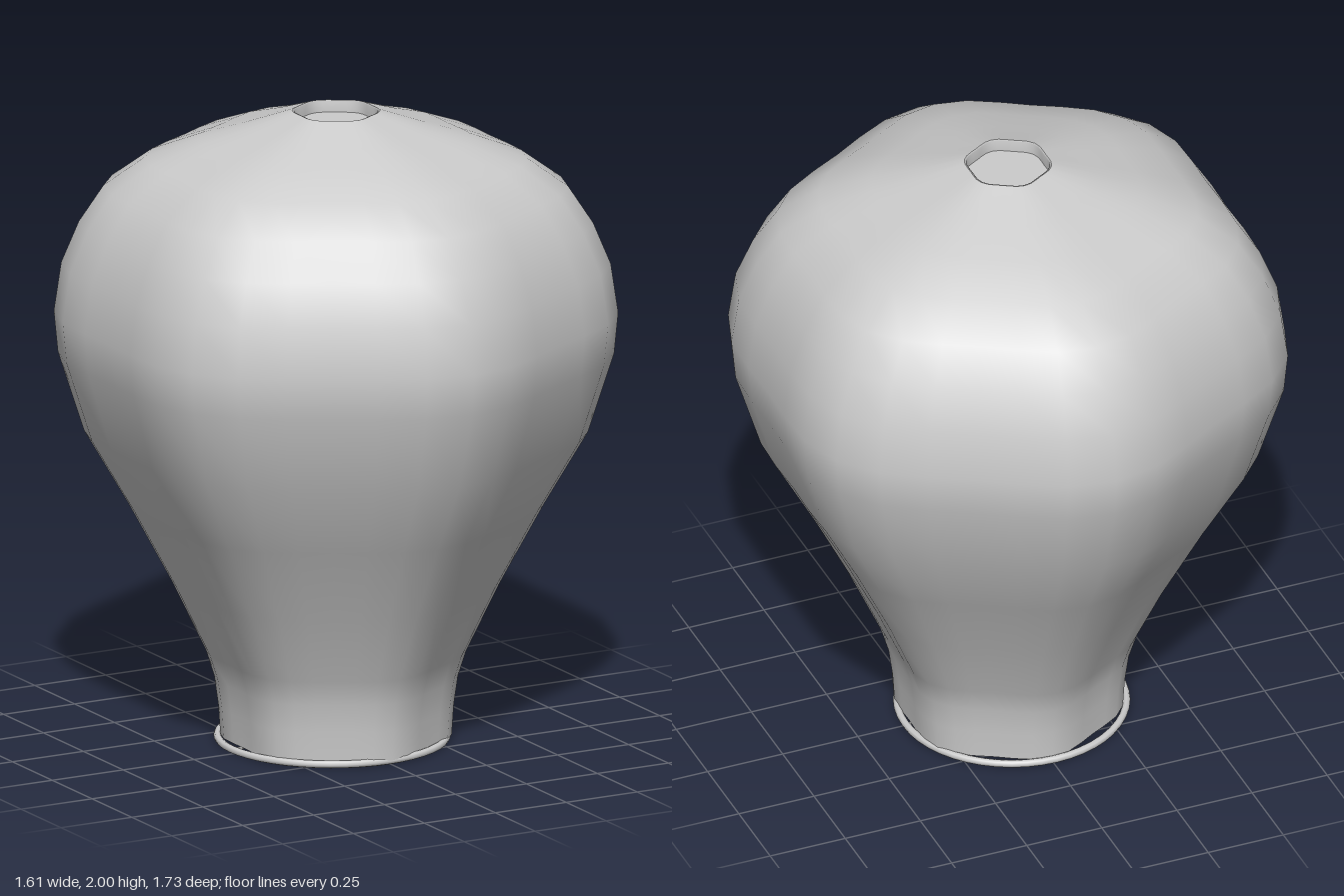
import * as THREE from 'three';
import { mergeVertices } from 'three/addons/utils/BufferGeometryUtils.js';

const SEGMENTS = 36;
const paper = new THREE.MeshStandardMaterial({ color: 0xcccccc, side: THREE.DoubleSide });
const solid = new THREE.MeshStandardMaterial({ color: 0xcccccc });

function add(parent, name, geometry, material, x = 0, y = 0, z = 0) {
  const mesh = new THREE.Mesh(geometry, material);
  mesh.name = name;
  mesh.position.set(x, y, z);
  parent.add(mesh);
  return mesh;
}

// Revolve a [radius, height] profile, then swell it into six lobes
function lobed(profile) {
  let g = new THREE.LatheGeometry(profile.map(([r, y]) => new THREE.Vector2(r, y)), SEGMENTS);
  const p = g.attributes.position;
  for (let i = 0; i < p.count; i++) {
    const k = 1 + 0.04 * Math.cos(6 * Math.atan2(p.getX(i), p.getZ(i)));
    p.setX(i, p.getX(i) * k);
    p.setZ(i, p.getZ(i) * k);
  }
  // weld the seam so that shading runs smoothly all round
  g.deleteAttribute('uv');
  g.deleteAttribute('normal');
  g = mergeVertices(g, 1e-4);
  g.computeVertexNormals();
  return g;
}

export function createModel() {
  const lantern = new THREE.Group();
  lantern.name = 'paperLantern';

  // Paper envelope, open at the bottom
  add(lantern, 'envelope', lobed([
    [0.342, 0.015], [0.348, 0.11], [0.36, 0.2], [0.384, 0.28], [0.485, 0.5],
    [0.615, 0.75], [0.745, 0.98], [0.822, 1.23], [0.834, 1.36], [0.812, 1.515],
    [0.76, 1.645], [0.687, 1.76], [0.565, 1.85], [0.408, 1.91], [0.275, 1.95], [0.13, 2],
  ]), paper);

  // Recessed crown: short lip and a flat cap
  add(lantern, 'crownLip', lobed([[0.13, 2], [0.124, 1.998], [0.124, 1.96]]), paper);
  add(lantern, 'crownCap', lobed([[0.126, 1.962], [0, 1.962]]), paper);

  // Base hoop with crossed wires, burner and flame
  const burner = new THREE.Group();
  burner.name = 'burner';
  burner.position.set(-0.008, 0.012, -0.01);
  lantern.add(burner);

  add(burner, 'hoop', new THREE.TorusGeometry(0.353, 0.012, 8, 48).rotateX(Math.PI / 2), solid);
  for (const turn of [0, Math.PI / 2]) {
    const wire = new THREE.CylinderGeometry(0.004, 0.004, 0.706, 6).rotateZ(Math.PI / 2);
    add(burner, 'crossWire', wire, solid).rotation.y = turn;
  }
  add(burner, 'fuelDisc', new THREE.CylinderGeometry(0.093, 0.093, 0.03, 24), solid, 0, 0.016, 0);
  add(burner, 'flame', new THREE.SphereGeometry(0.1, 24, 16), solid, 0, 0.115, 0);

  return lantern;
}
